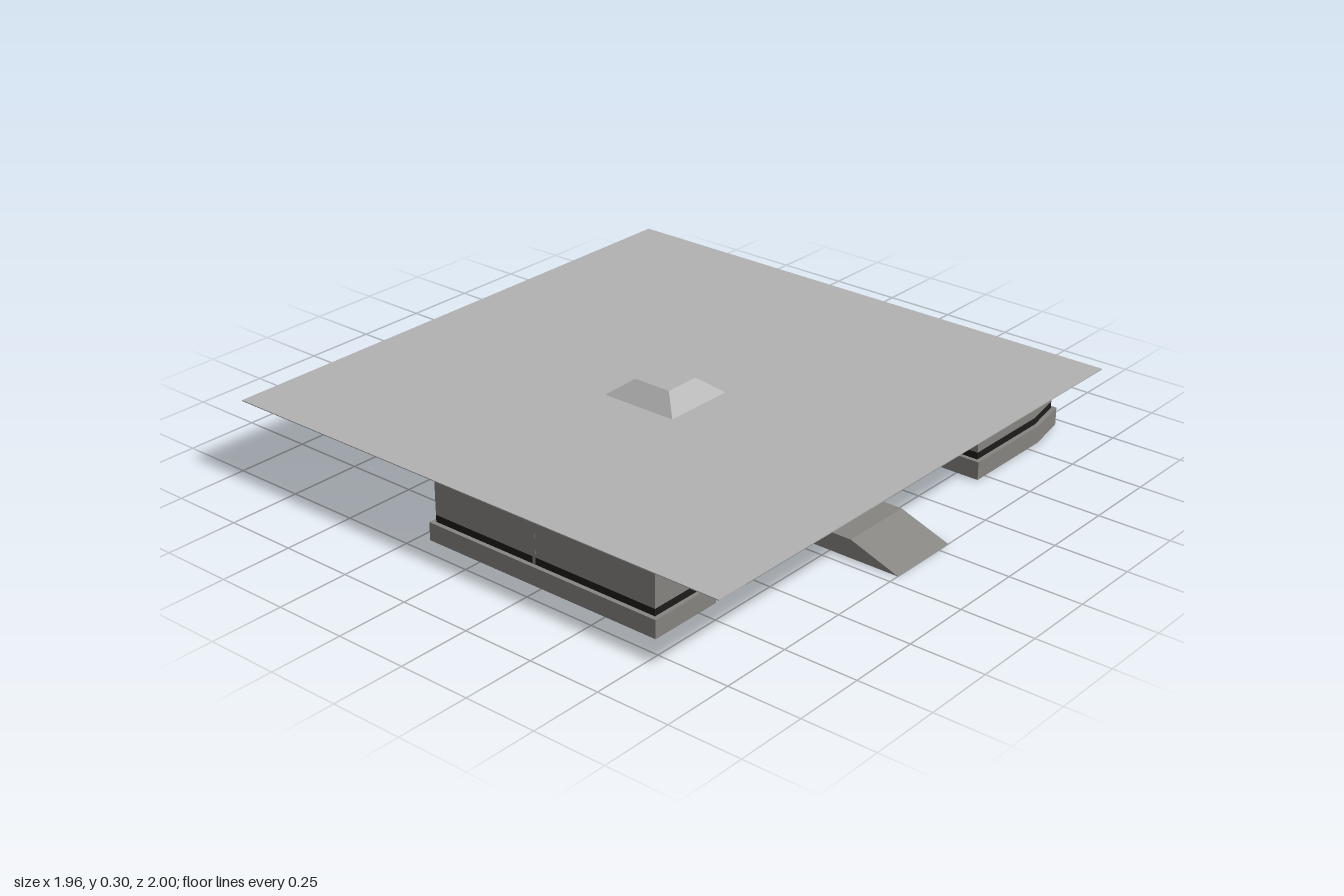
import * as THREE from 'three';

const mat = (name, color, side = THREE.FrontSide) => {
  const m = new THREE.MeshStandardMaterial({ color, side });
  m.name = name;
  return m;
};

// Plan of the building as [x, z] corners
const plan = [
  [0.965, -0.74], [0.965, 0.8], [0.81, 0.83], [0.46, 0.83], [0.46, 0.69],
  [-0.535, 0.69], [-0.535, 0.55], [-0.675, 0.55], [-0.675, 0.69], [-0.94, 0.69],
  [-0.94, -0.21], [-0.525, -0.21], [-0.525, -0.74],
];

// Moves every edge of the plan inward by d
function inset(pts, d) {
  const n = pts.length;
  const dir = (a, b) => {
    const l = Math.hypot(b[0] - a[0], b[1] - a[1]);
    return [(b[0] - a[0]) / l, (b[1] - a[1]) / l];
  };
  return pts.map((p, i) => {
    const a = dir(pts[(i + n - 1) % n], p);
    const b = dir(p, pts[(i + 1) % n]);
    const na = [-a[1], a[0]], nb = [-b[1], b[0]];
    const k = d / (1 + na[0] * nb[0] + na[1] * nb[1]);
    return [p[0] + (na[0] + nb[0]) * k, p[1] + (na[1] + nb[1]) * k];
  });
}

// Thin upright walls along a closed plan
function wallRing(pts, y0, y1) {
  const v = [];
  pts.forEach((a, i) => {
    const b = pts[(i + 1) % pts.length];
    const A = [a[0], y0, a[1]], B = [b[0], y0, b[1]];
    const C = [b[0], y1, b[1]], D = [a[0], y1, a[1]];
    v.push(...A, ...C, ...B, ...A, ...D, ...C);
  });
  const g = new THREE.BufferGeometry();
  g.setAttribute('position', new THREE.Float32BufferAttribute(v, 3));
  g.computeVertexNormals();
  return g;
}

export function createModel() {
  const group = new THREE.Group();
  const roofGrey = mat('roofGrey', 0xb2b2b2);
  const wallGrey = mat('wallGrey', 0x868581, THREE.DoubleSide);
  const bandBlack = mat('bandBlack', 0x1d1c1b, THREE.DoubleSide);
  const frameGrey = mat('frameGrey', 0x6c6b69);

  const add = (name, geometry, material, x = 0, y = 0, z = 0) => {
    const m = new THREE.Mesh(geometry, material);
    m.name = name;
    m.position.set(x, y, z);
    group.add(m);
    return m;
  };

  // Hollow skirt with the floor resting on it
  add('skirt', wallRing(plan, 0, 0.062), wallGrey);
  const floorShape = new THREE.Shape(plan.map(([x, z]) => new THREE.Vector2(x, -z)));
  add('floor', new THREE.ShapeGeometry(floorShape).rotateX(-Math.PI / 2), wallGrey, 0, 0.062);

  // Dark band and outer walls, set in from the skirt
  const wallPlan = inset(plan, 0.015);
  add('darkBand', wallRing(wallPlan, 0.062, 0.086), bandBlack);
  add('outerWalls', wallRing(wallPlan, 0.086, 0.24), wallGrey);

  // Inner partitions: x, z, width, depth
  [
    [-0.333, 0.21, 1.185, 0.012], [-0.63, 0.37, 0.012, 0.32],
    [0.26, 0.44, 0.012, 0.46], [0.45, -0.46, 0.012, 0.52],
  ].forEach(([x, z, w, d]) => {
    add('partition', new THREE.BoxGeometry(w, 0.176, d), wallGrey, x, 0.151, z);
  });

  // Flat overhanging roof
  add('roof', new THREE.BoxGeometry(1.96, 0.003, 1.95), roofGrey, 0, 0.2405, -0.025);

  // Skylight: four-sided frustum with a flat top
  const skylight = new THREE.CylinderGeometry(Math.SQRT1_2 * 0.5, Math.SQRT1_2, 1, 4, 1)
    .toNonIndexed();
  skylight.rotateY(Math.PI / 4);
  skylight.scale(0.26, 0.054, 0.28);
  skylight.computeVertexNormals();
  add('skylight', skylight, roofGrey, -0.08, 0.269, -0.01);

  // Entrance ramp, rising to a landing at the door
  const side = new THREE.Shape();
  side.moveTo(-1, 0);
  side.lineTo(-0.69, 0);
  side.lineTo(-0.69, 0.062);
  side.lineTo(-0.825, 0.062);
  side.closePath();
  const ramp = new THREE.ExtrudeGeometry(side, { depth: 0.26, bevelEnabled: false });
  ramp.rotateY(Math.PI / 2);
  add('ramp', ramp, wallGrey, -0.21, 0, 0);

  // Low door: frame and pale panel
  add('doorFrame', new THREE.BoxGeometry(0.16, 0.063, 0.006), frameGrey, -0.08, 0.0945, 0.677);
  add('doorPanel', new THREE.BoxGeometry(0.12, 0.04, 0.004), roofGrey, -0.075, 0.104, 0.681);

  return group;
}
